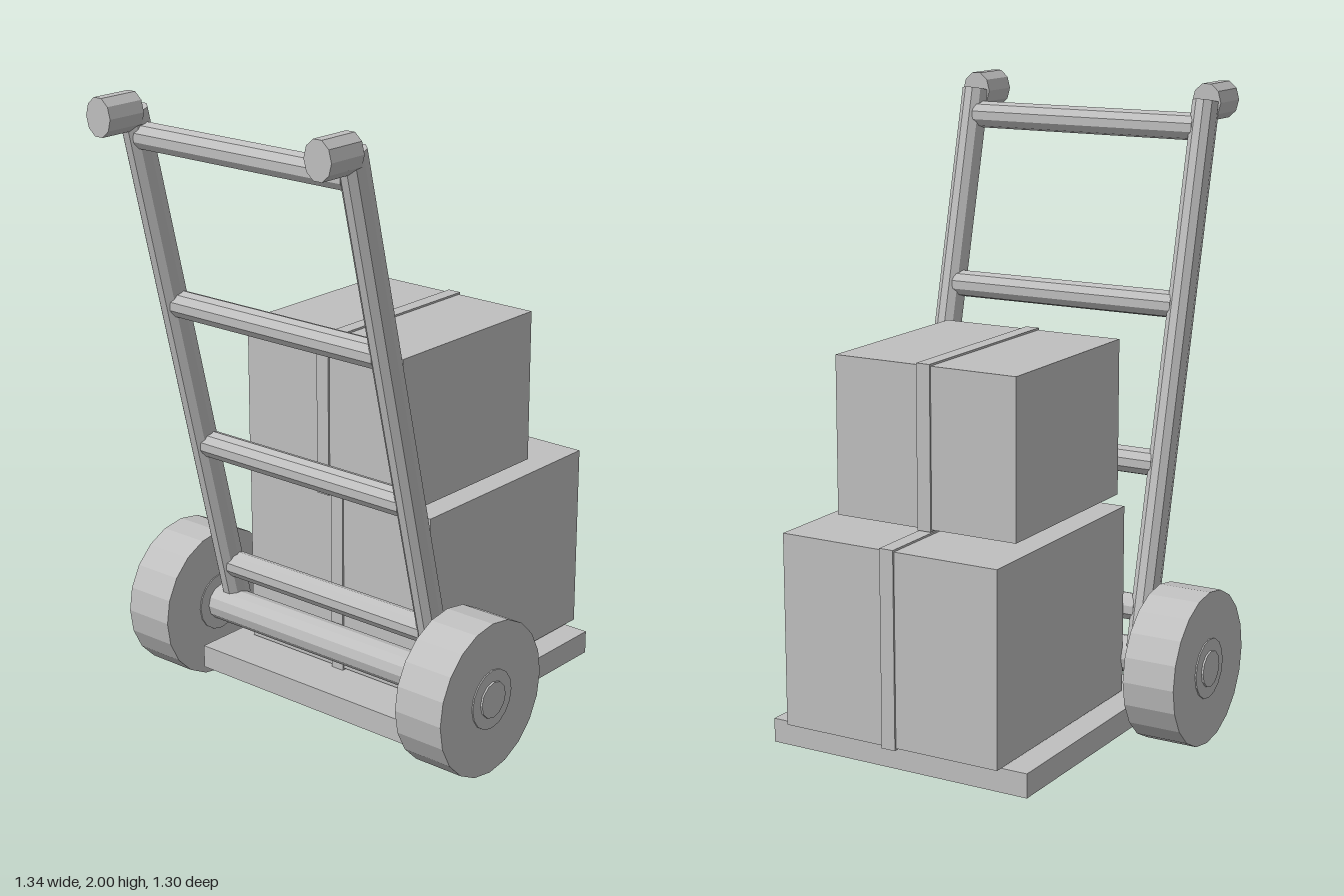
import * as THREE from 'three';

export function createModel() {
  const model = new THREE.Group();
  model.name = 'handTruck';
  const grey = new THREE.MeshStandardMaterial({ color: 0xbfbfbf, flatShading: true });
  grey.name = 'plain grey';

  function add(name, geometry, x, y, z) {
    const mesh = new THREE.Mesh(geometry, grey);
    mesh.name = name;
    mesh.position.set(x, y, z);
    model.add(mesh);
    return mesh;
  }

  // Box given by its extents, symmetric in z
  function block(name, x0, x1, y0, y1, halfZ) {
    return add(name, new THREE.BoxGeometry(x1 - x0, y1 - y0, halfZ * 2), (x0 + x1) / 2, (y0 + y1) / 2, 0);
  }

  // Cylinder lying along z
  function rod(name, radius, length, sides, x, y, z) {
    return add(name, new THREE.CylinderGeometry(radius, radius, length, sides).rotateX(Math.PI / 2), x, y, z);
  }

  // Load plate
  block('loadPlate', -0.27, 0.62, 0.055, 0.13, 0.442);

  // Two parcels, each with a thin tape band around it
  function parcel(name, x0, x1, y0, y1, halfZ) {
    const t = 0.006;
    block(name, x0, x1, y0, y1, halfZ);
    block(name + 'Tape', x0 - t, x1 + t, y0 - t, y1 + t, 0.023);
  }
  parcel('lowerBox', -0.114, 0.659, 0.137, 0.736, 0.366);
  parcel('upperBox', -0.178, 0.454, 0.751, 1.243, 0.309);

  // Sloping rails with grips, and the wheels, on both sides
  const foot = new THREE.Vector2(-0.136, 0.281);
  const head = new THREE.Vector2(-0.536, 1.944);
  const slope = head.clone().sub(foot);
  const lean = Math.atan2(-slope.x, slope.y);
  for (const side of [1, -1]) {
    const prefix = side > 0 ? 'left' : 'right';
    const railGeo = new THREE.CylinderGeometry(0.048, 0.048, slope.length(), 10).scale(1, 1, 0.87);
    const rail = add(prefix + 'Rail', railGeo, (foot.x + head.x) / 2, (foot.y + head.y) / 2, side * 0.416);
    rail.rotation.z = lean;

    const gripGeo = new THREE.CylinderGeometry(0.06, 0.06, 0.135, 10).rotateZ(Math.PI / 2).scale(1, 1, 0.82);
    add(prefix + 'Grip', gripGeo, -0.606, 1.94, side * 0.416);

    rod(prefix + 'Wheel', 0.245, 0.17, 20, -0.16, 0.245, side * 0.555);
    rod(prefix + 'Hub', 0.095, 0.178, 16, -0.16, 0.245, side * 0.555);
  }

  // Axle
  rod('axle', 0.058, 1.3, 12, -0.16, 0.245, 0);

  // Crossbars follow the slope of the rails
  for (const y of [0.4, 0.842, 1.325, 1.865]) {
    const x = foot.x + (slope.x / slope.y) * (y - foot.y);
    rod('crossbar', 0.043, 0.79, 10, x, y, 0);
  }
  return model;
}
